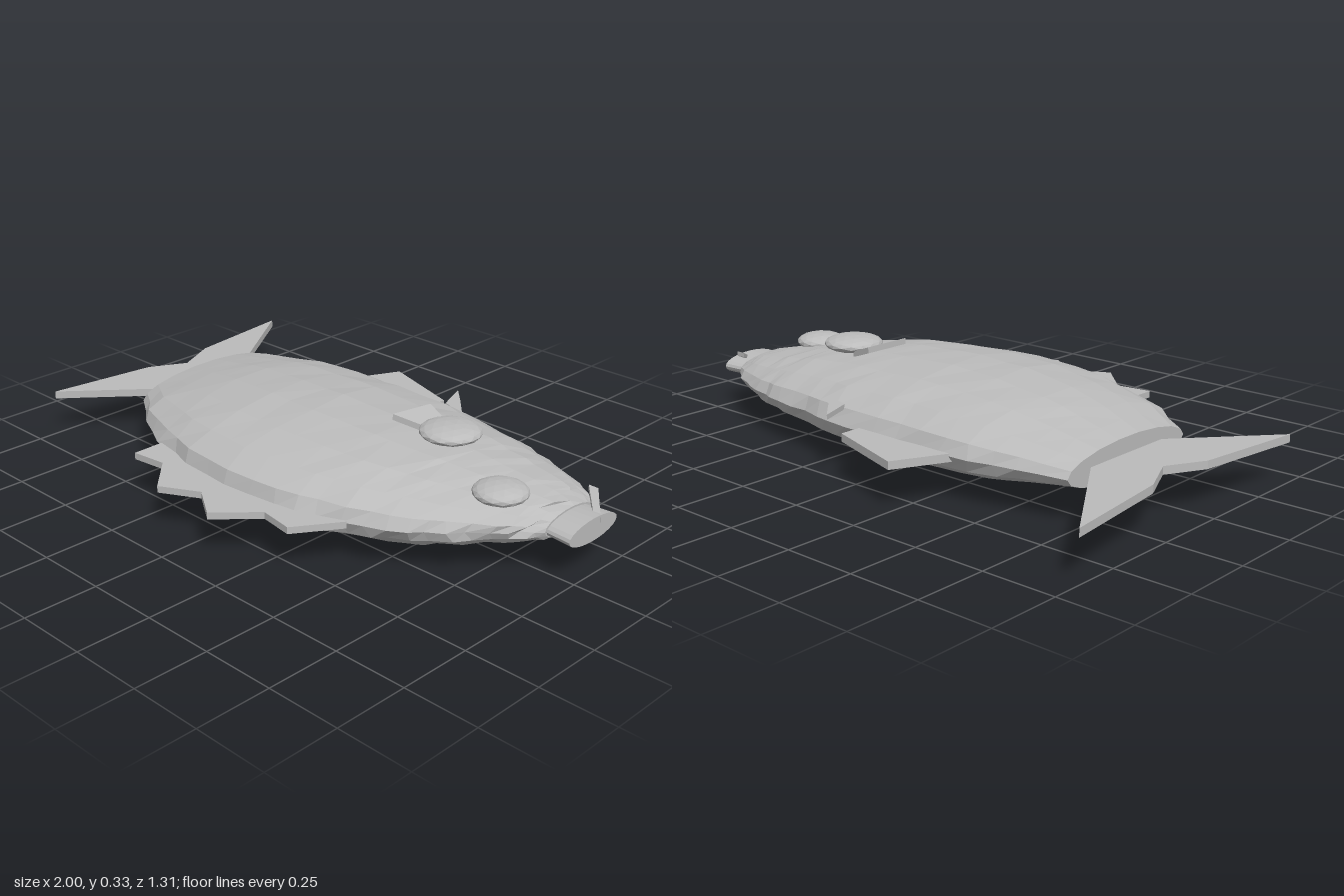
import * as THREE from 'three';

const skin = new THREE.MeshStandardMaterial({ color: 0xbbbbbb, flatShading: true });
skin.name = 'grey skin';

// Body stations: x, back edge z, front edge z, bottom y, top y
const STATIONS = [
  [-0.73, -0.36, 0.23, 0.095, 0.225], [-0.57, -0.395, 0.34, 0.065, 0.26],
  [-0.4, -0.43, 0.42, 0.035, 0.29], [-0.2, -0.44, 0.475, 0.015, 0.308],
  [0, -0.44, 0.497, 0.008, 0.313], [0.2, -0.435, 0.48, 0.014, 0.308],
  [0.35, -0.405, 0.44, 0.022, 0.3], [0.5, -0.385, 0.375, 0.035, 0.285],
  [0.6, -0.36, 0.315, 0.048, 0.27], [0.7, -0.33, 0.24, 0.068, 0.252],
  [0.8, -0.285, 0.15, 0.09, 0.235], [0.86, -0.25, 0.08, 0.105, 0.22],
  [0.905, -0.21, 0.03, 0.12, 0.2],
];

function noise(i, j) {
  const s = Math.sin(i * 127.1 + j * 311.7) * 43758.5453;
  return (s - Math.floor(s)) * 2 - 1;
}

function mesh(name, geometry) {
  const m = new THREE.Mesh(geometry, skin);
  m.name = name;
  return m;
}

// Faceted, slightly uneven oval cross-sections with a cap at each end
function bodyGeometry() {
  const rings = [];
  STATIONS.forEach((s, i) => {
    rings.push(s);
    const n = STATIONS[i + 1];
    if (n) rings.push(s.map((v, k) => (v + n[k]) / 2));
  });
  const sides = 18, pos = [], idx = [];
  rings.forEach(([x, z0, z1, y0, y1], i) => {
    const end = i === 0 || i === rings.length - 1;
    for (let j = 0; j < sides; j++) {
      const a = (j / sides) * Math.PI * 2;
      const r = 1 + (end ? 0 : 0.015 * noise(i, j));
      pos.push(
        x + (end ? 0 : 0.015 * noise(i + 50, j)),
        (y0 + y1) / 2 + Math.sin(a) * r * (y1 - y0) / 2,
        (z0 + z1) / 2 + Math.cos(a) * r * (z1 - z0) / 2);
    }
  });
  const at = (i, j) => i * sides + (j % sides);
  for (let i = 0; i < rings.length - 1; i++) {
    for (let j = 0; j < sides; j++) {
      idx.push(at(i, j), at(i + 1, j), at(i + 1, j + 1));
      idx.push(at(i, j), at(i + 1, j + 1), at(i, j + 1));
    }
  }
  const last = rings.length - 1;
  for (let j = 1; j < sides - 1; j++) {
    idx.push(at(0, 0), at(0, j), at(0, j + 1));
    idx.push(at(last, 0), at(last, j + 1), at(last, j));
  }
  const g = new THREE.BufferGeometry();
  g.setAttribute('position', new THREE.Float32BufferAttribute(pos, 3));
  g.setIndex(idx);
  const flat = g.toNonIndexed();
  flat.computeVertexNormals();
  return flat;
}

// Flat plate outlined in x and z, between two heights
function plate(name, points, bottom, top) {
  const shape = new THREE.Shape(points.map(([x, z]) => new THREE.Vector2(x, z)));
  const g = new THREE.ExtrudeGeometry(shape, { depth: top - bottom, bevelEnabled: false });
  g.rotateX(Math.PI / 2).translate(0, top, 0);
  return mesh(name, g);
}

// Tilt a plate's vertices: height falls off along x and z from a pivot
function tilt(m, x0, z0, slopeX, slopeZ) {
  const p = m.geometry.attributes.position;
  for (let i = 0; i < p.count; i++) {
    p.setY(i, p.getY(i) + (p.getX(i) - x0) * slopeX + (p.getZ(i) - z0) * slopeZ);
  }
  m.geometry.computeVertexNormals();
  return m;
}

function eye(name, x, y, z, radius, height) {
  const m = mesh(name, new THREE.IcosahedronGeometry(1, 2));
  m.scale.set(radius, height, radius);
  m.position.set(x, y, z);
  return m;
}

export function createModel() {
  const fish = new THREE.Group();
  fish.name = 'flatfish';
  fish.add(mesh('body', bodyGeometry()));

  // Fins
  fish.add(plate('tailFin', [[-1, -0.655], [-0.95, -0.25], [-0.88, -0.1], [-0.95, 0.03],
    [-1, 0.42], [-0.73, 0.11], [-0.68, 0.05], [-0.68, -0.2], [-0.73, -0.25]], 0.145, 0.172));
  fish.add(plate('frontFin', [[-0.385, 0.36], [-0.385, 0.54], [-0.26, 0.525], [-0.14, 0.645],
    [-0.01, 0.575], [0.11, 0.655], [0.23, 0.53], [0.35, 0.55], [0.45, 0.4], [0.4, 0.36]],
    0.145, 0.168));
  fish.add(plate('backFin', [[-0.35, -0.4], [-0.25, -0.605], [0.05, -0.51], [0.05, -0.38]],
    0.143, 0.17));
  fish.add(plate('backSpike', [[0.105, -0.52], [0.17, -0.455], [0.25, -0.37], [0.15, -0.4]],
    0.205, 0.222));

  // Eyes and the small fin behind the upper one
  fish.add(eye('upperEye', 0.45, 0.315, -0.07, 0.102, 0.03));
  fish.add(eye('lowerEye', 0.75, 0.25, 0.05, 0.088, 0.032));
  fish.add(tilt(plate('eyeFin', [[0.275, 0.01], [0.295, -0.15], [0.39, -0.13], [0.36, -0.04]],
    0.322, 0.343), 0.28, 0, -0.35, 0));

  // Mouth: short oval tube flaring toward the front
  const mouth = mesh('mouth', new THREE.CylinderGeometry(0.12, 0.11, 0.11, 24));
  mouth.geometry.rotateZ(-Math.PI / 2).scale(1, 0.32, 1);
  mouth.position.set(0.938, 0.158, -0.09);
  fish.add(mouth);
  fish.add(tilt(plate('lipBarb', [[0.885, -0.21], [0.92, -0.21], [0.995, -0.12], [0.965, -0.125]],
    0.212, 0.228), 0.89, -0.21, 0, -0.45));
  return fish;
}
